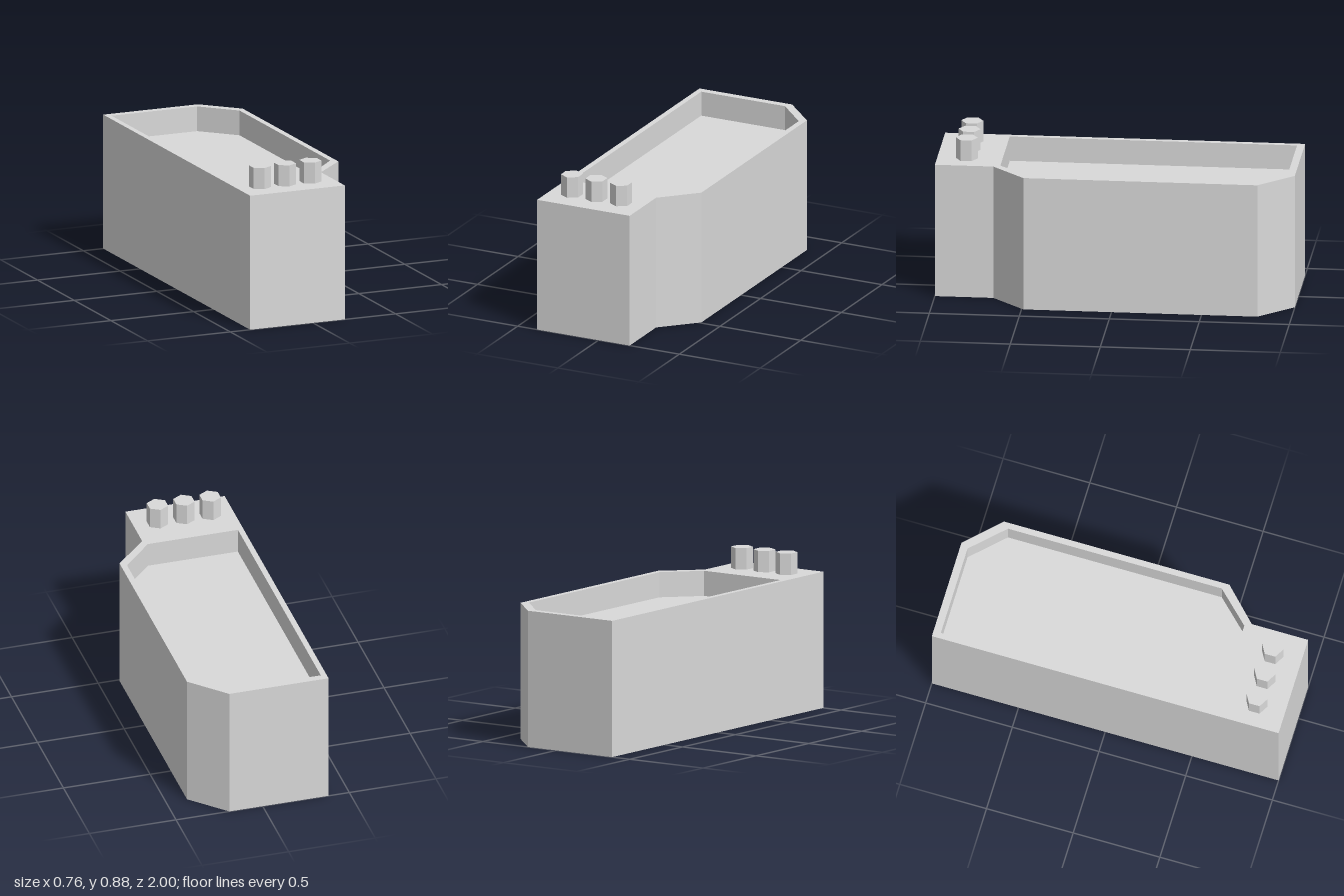
import * as THREE from 'three';

const HEIGHT = 0.764;
const FLOOR = 0.623;

// Plan outlines as [x, z]
const outer = [[-0.38, -1], [0.193, -1], [0.38, -0.81], [0.38, 0.49], [0.193, 0.675], [0.193, 1], [-0.38, 1]];
const inner = [[-0.348, -0.958], [0.17, -0.958], [0.346, -0.777], [0.346, 0.456], [0.172, 0.638], [-0.348, 0.638]];

const points = (plan) => plan.map(([x, z]) => new THREE.Vector2(x, -z));

// Raises a plan shape from the ground to the given height
function raise(shape, height) {
  const geometry = new THREE.ExtrudeGeometry(shape, { depth: height, bevelEnabled: false });
  return geometry.rotateX(-Math.PI / 2);
}

export function createModel() {
  const group = new THREE.Group();
  const grey = new THREE.MeshStandardMaterial({ color: 0xd9d9d9 });
  grey.name = 'grey';

  const add = (name, geometry) => {
    const mesh = new THREE.Mesh(geometry, grey);
    mesh.name = name;
    group.add(mesh);
    return mesh;
  };

  // Outer body with the basin opening; the hole winds the other way so its walls face inwards
  const bodyShape = new THREE.Shape(points(outer));
  bodyShape.holes.push(new THREE.Path(points(inner).reverse()));
  add('body', raise(bodyShape, HEIGHT));

  // Solid block filling the opening up to the basin floor
  add('basinFloor', raise(new THREE.Shape(points(inner)), FLOOR));

  // Three hexagonal knobs on the front ledge
  const knob = new THREE.CylinderGeometry(0.061, 0.061, 0.12, 6).toNonIndexed();
  knob.computeVertexNormals();
  [-0.247, -0.096, 0.057].forEach((x, i) => {
    add('knob' + (i + 1), knob).position.set(x, HEIGHT + 0.06, 0.836);
  });

  return group;
}
